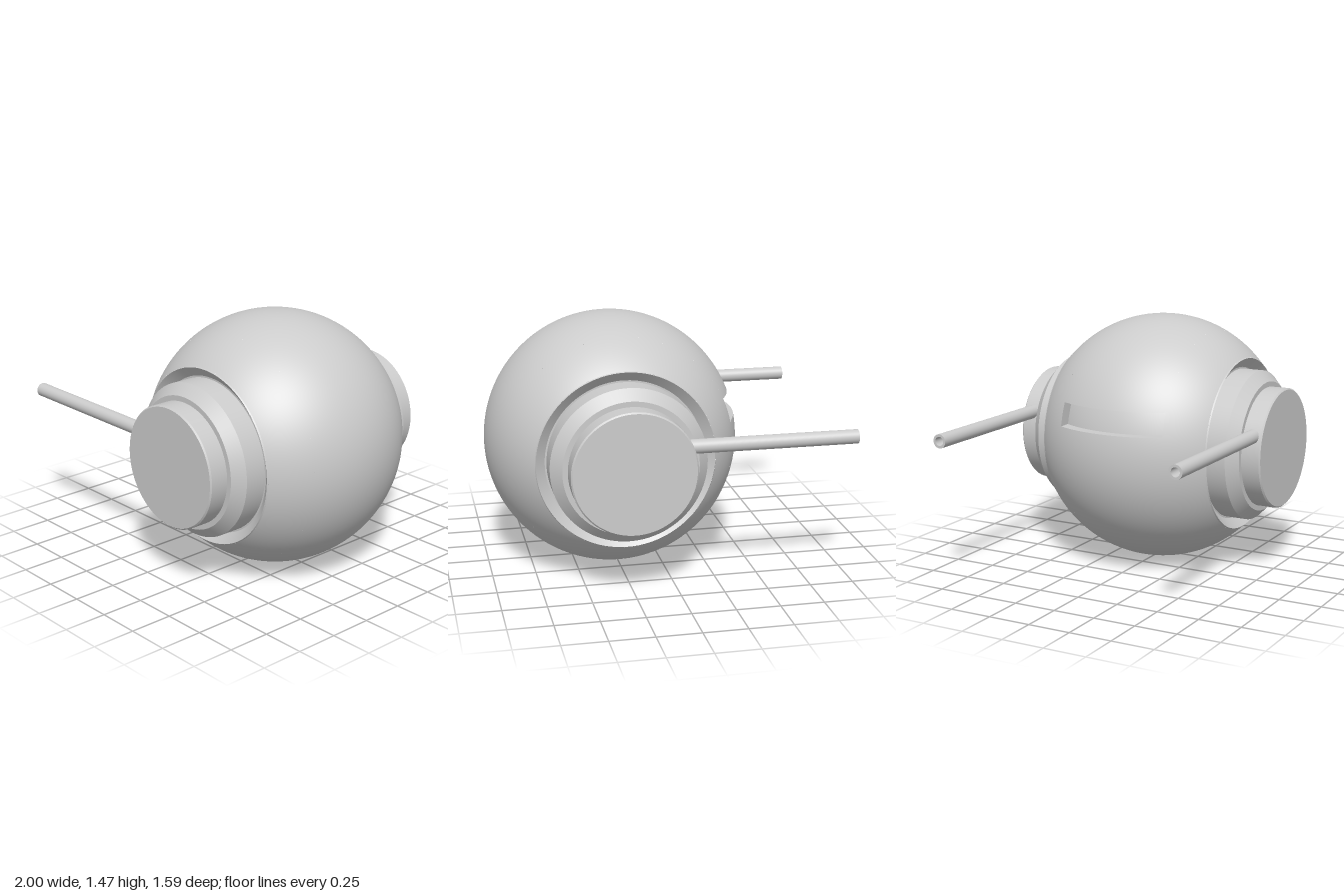
import * as THREE from 'three';

const CX = 0.265, CY = 0.735;           // centre of the ball
const R = 0.735, R_IN = 0.67;           // ball and slot floor radii
const CUT = 0.53;                       // where the ball is cut off, front and back
const SLOT_Z = 0.33, SLOT_TOP = 0.27, SLOT_BOTTOM = 0.135; // slot limits from the centre

const grey = new THREE.MeshStandardMaterial({ color: 0xcccccc });
const greyDouble = new THREE.MeshStandardMaterial({ color: 0xcccccc, side: THREE.DoubleSide });

// Grid surface from a rule (u, v) -> [x, y, z]
function surface(name, nu, nv, rule, material, spherical = false) {
  const g = new THREE.PlaneGeometry(1, 1, nu, nv);
  const { position: p, uv, normal } = g.attributes;
  const n = new THREE.Vector3();
  for (let i = 0; i < p.count; i++) p.setXYZ(i, ...rule(uv.getX(i), uv.getY(i)));
  g.computeVertexNormals();
  if (spherical) {
    for (let i = 0; i < p.count; i++) {
      n.fromBufferAttribute(p, i).normalize();
      normal.setXYZ(i, n.x, n.y, n.z);
    }
  }
  const mesh = new THREE.Mesh(g, material);
  mesh.name = name;
  return mesh;
}

// Revolved profile with a sharp edge at every point
function turned(name, profile, material) {
  const part = new THREE.Group();
  part.name = name;
  for (let i = 1; i < profile.length; i++) {
    const pts = [profile[i - 1], profile[i]].map(([r, y]) => new THREE.Vector2(r, y));
    const mesh = new THREE.Mesh(new THREE.LatheGeometry(pts, 96), material);
    mesh.name = name + 'Section';
    part.add(mesh);
  }
  return part;
}

// Band of a sphere between two z values and two angles around the z axis
function band(name, radius, z0, z1, start, end, nu, nv) {
  return surface(name, nu, nv, (u, v) => {
    const z = z0 + (z1 - z0) * v;
    const r = Math.sqrt(radius * radius - z * z);
    const a = THREE.MathUtils.lerp(start(r), end(r), u);
    return [r * Math.cos(a), r * Math.sin(a), z];
  }, grey, true);
}

// Point on the -x side of a sphere at a given y and z
const onSide = (radius, y, z) => [-Math.sqrt(radius * radius - y * y - z * z), y, z];

export function createModel() {
  const model = new THREE.Group();
  model.name = 'ballWithRods';
  const body = new THREE.Group();
  body.name = 'body';
  body.position.set(CX, CY, 0);
  model.add(body);

  // Ball shell, open at the slot
  const slotTop = (r) => Math.PI - Math.asin(SLOT_TOP / r);
  const slotBottom = (r) => Math.PI - Math.asin(SLOT_BOTTOM / r);
  const zero = () => -Math.PI, full = () => Math.PI;
  body.add(
    band('ballFront', R, SLOT_Z, CUT, zero, full, 128, 12),
    band('ballBack', R, -CUT, -SLOT_Z, zero, full, 128, 12),
    band('ballMiddle', R, -SLOT_Z, SLOT_Z, (r) => slotBottom(r) - 2 * Math.PI, slotTop, 128, 32),
    band('slotInnerWall', R_IN, -SLOT_Z, SLOT_Z, slotTop, slotBottom, 8, 32),
  );

  // Slot walls joining the shell and the inner wall
  const depth = (u) => THREE.MathUtils.lerp(R_IN, R, u);
  for (const [name, y] of [['slotCeiling', SLOT_TOP], ['slotFloor', SLOT_BOTTOM]]) {
    body.add(surface(name, 1, 32, (u, v) => onSide(depth(u), y, SLOT_Z * (2 * v - 1)), greyDouble));
  }
  for (const side of [-1, 1]) {
    body.add(surface('slotEnd', 1, 8, (u, v) =>
      onSide(depth(u), THREE.MathUtils.lerp(SLOT_BOTTOM, SLOT_TOP, v), side * SLOT_Z), greyDouble));
  }

  // Stepped hubs on both ends: sunken rim, chamfered collar, drum
  const rimRadius = Math.sqrt(R * R - CUT * CUT);
  const hubProfile = [
    [rimRadius, CUT], [0.505, 0.537], [0.45, 0.49], [0.44, 0.49], [0.44, 0.62],
    [0.38, 0.68], [0.35, 0.68], [0.35, 0.786], [0.342, 0.794], [0, 0.794],
  ];
  // Hollow rod, turned around its own axis
  const rodProfile = [[0.04, 0], [0.04, 0.97], [0.026, 0.97], [0.026, 0]];

  for (const side of [1, -1]) {
    const hub = turned(side > 0 ? 'frontHub' : 'backHub', hubProfile, greyDouble);
    hub.rotation.x = side * Math.PI / 2;
    body.add(hub);

    const rod = turned(side > 0 ? 'frontRod' : 'backRod', rodProfile, greyDouble);
    rod.rotation.z = Math.PI / 2;
    rod.position.set(-0.03, 0.86, side * 0.735);
    model.add(rod);
  }
  return model;
}
